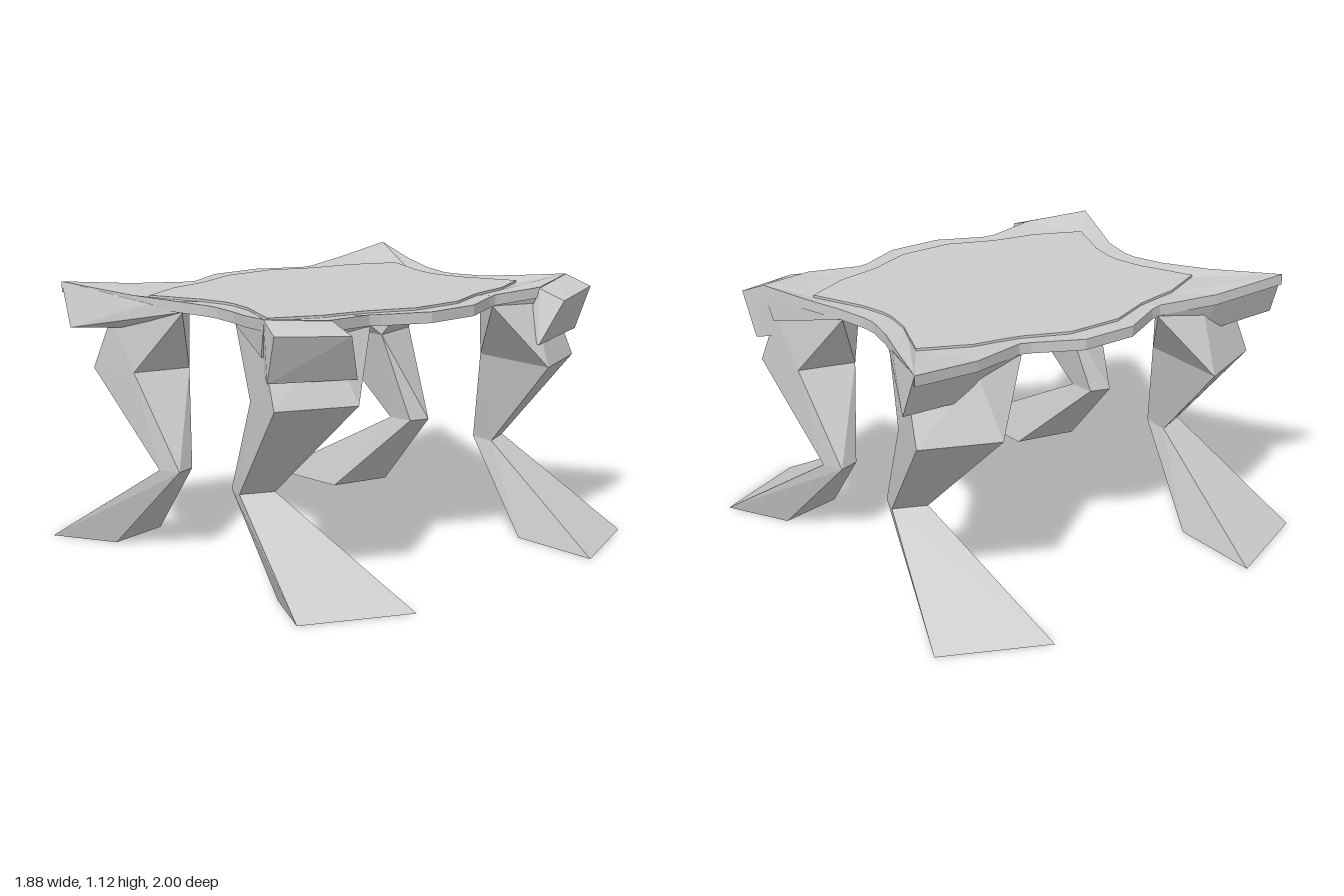
import * as THREE from 'three';
import { ConvexGeometry } from 'three/addons/geometries/ConvexGeometry.js';

const material = new THREE.MeshStandardMaterial({ color: 0xcccccc, flatShading: true });

// Faceted solid around corner points given for the +x, +z corner
function hull(name, points, sx, sz) {
  const geometry = new ConvexGeometry(points.map(([x, y, z]) => new THREE.Vector3(x * sx, y, z * sz)));
  const mesh = new THREE.Mesh(geometry, material);
  mesh.name = name;
  return mesh;
}

// Full outline from a front quarter and a back quarter, running +z, +x, -z, -x
function outline(front, back) {
  const at = (list, sx, sz) => list.map(([x, y, z]) => [x * sx, y, z * sz]);
  return [
    ...at(front, 1, 1), ...at(back, 1, -1).reverse(),
    ...at(back, -1, -1), ...at(front, -1, 1).reverse(),
  ];
}

// Skin over a stack of outlines with equal point counts
function skin(name, rings) {
  const positions = [];
  for (let r = 0; r < rings.length - 1; r++) {
    const a = rings[r], b = rings[r + 1];
    for (let i = 0; i < a.length; i++) {
      const j = (i + 1) % a.length;
      positions.push(...a[i], ...b[i], ...b[j], ...a[i], ...b[j], ...a[j]);
    }
  }
  const geometry = new THREE.BufferGeometry();
  geometry.setAttribute('position', new THREE.Float32BufferAttribute(positions, 3));
  geometry.computeVertexNormals();
  const mesh = new THREE.Mesh(geometry, material);
  mesh.name = name;
  return mesh;
}

// Leg cross-sections: inner front, outer front, outer back, inner back
const SOLE = [[0.51, 0, 1.0], [0.94, 0, 0.8], [0.8, 0, 0.53], [0.52, 0, 0.59]];
const ANKLE = [[0.63, 0.365, 0.32], [0.765, 0.365, 0.26], [0.73, 0.365, 0.17], [0.64, 0.365, 0.2]];
const KNEE = [[0.545, 0.765, 0.715], [0.855, 0.765, 0.58], [0.8, 0.765, 0.375], [0.56, 0.765, 0.31]];
const HIP = [[0.35, 1.03, 0.57], [0.58, 1.03, 0.59], [0.83, 0.98, 0.49], [0.7, 1.03, 0.17]];

// Corner blocks: slanted box at the front, flared bracket at the back
const FRONT_BLOCK = [
  [0.9, 1.065, 0.635], [0.605, 1.045, 0.74], [0.59, 1.085, 0.615], [0.86, 1.11, 0.53],
  [0.88, 0.875, 0.57], [0.52, 0.86, 0.68], [0.8, 0.9, 0.45], [0.53, 0.88, 0.57],
];
const FRONT_BRACKET = [
  [0.86, 1.1, 0.53], [0.6, 1.07, 0.61], [0.36, 1.03, 0.57], [0.71, 1.03, 0.18],
  [0.75, 1.05, 0.28], [0.84, 0.96, 0.49], [0.58, 0.96, 0.58],
];
const BACK_BLOCK = [
  [0.93, 1.125, 0.69], [0.61, 1.07, 0.64], [0.94, 0.94, 0.62], [0.6, 0.91, 0.58],
  [0.36, 1.03, 0.57], [0.71, 1.03, 0.18], [0.77, 1.06, 0.3], [0.8, 0.95, 0.42],
];

export function createModel() {
  const group = new THREE.Group();
  group.name = 'table';

  // Table top: raised panel, rim lifting towards the corners, thin edge and underside
  const panel = [[0.12, 0.59], [0.31, 0.51], [0.4, 0.49], [0.51, 0.47], [0.71, 0.375], [0.65, 0.23], [0.615, 0.15], [0.59, 0.03]];
  const rimFront = [[0.12, 1.075, 0.68], [0.31, 1.075, 0.59], [0.36, 1.078, 0.575], [0.59, 1.09, 0.615],
    [0.86, 1.112, 0.53], [0.775, 1.09, 0.32], [0.71, 1.078, 0.17], [0.68, 1.075, 0.03]];
  const rimBack = [[0.12, 1.075, 0.68], [0.31, 1.075, 0.58], [0.36, 1.078, 0.57], [0.61, 1.09, 0.64],
    [0.93, 1.125, 0.69], [0.8, 1.09, 0.38], [0.715, 1.078, 0.17], [0.68, 1.075, 0.03]];
  const flat = (y, s = 1) => {
    const quarter = panel.map(([x, z]) => [x * s, y, z * s]);
    return outline(quarter, quarter);
  };
  const rim = outline(rimFront, rimBack);
  const edge = rim.map(([x, y, z]) => [x, y - 0.045, z]);
  group.add(skin('tableTop', [flat(1.08, 0), flat(1.08), flat(1.07), rim, edge, flat(1.03), flat(1.03, 0)]));

  // Four legs with their corner blocks
  for (const sx of [1, -1]) {
    for (const sz of [1, -1]) {
      const leg = new THREE.Group();
      leg.name = (sz > 0 ? 'front' : 'back') + (sx > 0 ? 'Left' : 'Right') + 'Leg';
      leg.add(
        hull('foot', [...SOLE, ...ANKLE], sx, sz),
        hull('shin', [...ANKLE, ...KNEE], sx, sz),
        hull('thigh', [...KNEE, ...HIP], sx, sz),
      );
      if (sz > 0) {
        leg.add(hull('cornerBlock', FRONT_BLOCK, sx, sz), hull('cornerBracket', FRONT_BRACKET, sx, sz));
      } else {
        leg.add(hull('cornerBracket', BACK_BLOCK, sx, sz));
      }
      group.add(leg);
    }
  }
  return group;
}
